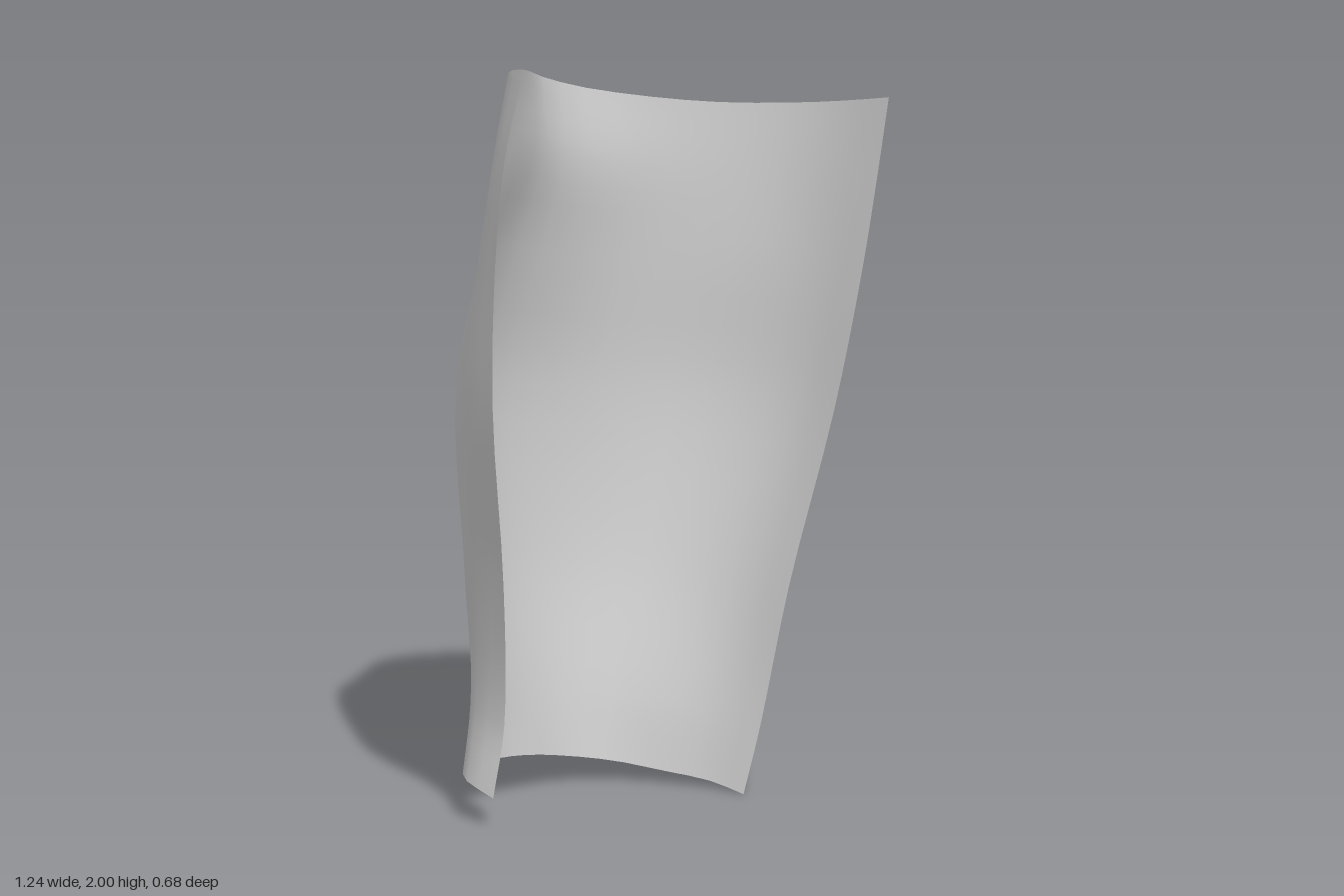
import * as THREE from 'three';

const AROUND = 20, UP = 24;

// Lower and upper rims as [x, y, z], from one front edge around the back to the other
const bottomRim = [
  [-.553, .078, .153], [-.545, .105, .03], [-.485, .115, -.055], [-.37, .11, -.118], [-.21, .10, -.157],
  [-.05, .075, -.175], [.07, .055, -.12], [.15, .035, -.02], [.21, .02, .1], [.23, 0, .22],
];
const topRim = [
  [-.52, 2, .228], [-.425, 1.985, .055], [-.285, 1.955, -.065], [-.15, 1.91, -.19], [-.03, 1.865, -.29], [.12, 1.815, -.32],
  [.28, 1.78, -.265], [.44, 1.76, -.16], [.565, 1.768, 0], [.612, 1.795, .17], [.62, 1.83, .34],
];

// Sections between the rims: fraction of the height, then [x, z] points
const sections = [
  [.1, [[-.515, .152], [-.515, .04], [-.46, -.06], [-.35, -.14], [-.2, -.2], [-.04, -.215], [.09, -.16], [.18, -.05], [.25, .09], [.275, .235]]],
  [.3, [[-.56, .205], [-.5, -.01], [-.42, -.14], [-.28, -.25], [-.12, -.3], [.06, -.285], [.2, -.215], [.3, -.09], [.355, .08], [.355, .255]]],
  [.55, [[-.62, .235], [-.56, .06], [-.48, -.08], [-.365, -.23], [-.2, -.325], [-.01, -.338], [.17, -.3], [.33, -.215], [.44, -.075], [.495, .11], [.482, .285]]],
  [.75, [[-.612, .235], [-.515, .05], [-.405, -.075], [-.295, -.185], [-.165, -.26], [0, -.29], [.18, -.28], [.345, -.205], [.475, -.065], [.55, .13], [.555, .31]]],
  [.89, [[-.578, .23], [-.47, .05], [-.345, -.06], [-.2, -.152], [-.07, -.232], [.08, -.27], [.245, -.252], [.395, -.175], [.525, -.03], [.583, .15], [.595, .325]]],
];

// Evenly spaced points along a section
const spaced = (pts) =>
  new THREE.CatmullRomCurve3(pts.map((p) => new THREE.Vector3(...p))).getSpacedPoints(AROUND);

function shellGeometry() {
  const low = spaced(bottomRim), high = spaced(topRim);
  const rings = [low];
  for (const [t, pts] of sections) {
    const ring = spaced(pts.map(([x, z]) => [x, 0, z]));
    ring.forEach((p, i) => { p.y = THREE.MathUtils.lerp(low[i].y, high[i].y, t); });
    rings.push(ring);
  }
  rings.push(high);

  // Smooth columns through the rings
  const positions = [], index = [];
  for (let i = 0; i <= AROUND; i++) {
    const column = new THREE.CatmullRomCurve3(rings.map((r) => r[i]));
    for (const p of column.getPoints(UP)) positions.push(p.x, p.y, p.z);
  }
  for (let i = 0; i < AROUND; i++) {
    for (let j = 0; j < UP; j++) {
      const a = i * (UP + 1) + j, b = a + UP + 1;
      index.push(a, a + 1, b, b, a + 1, b + 1);
    }
  }
  const geometry = new THREE.BufferGeometry();
  geometry.setAttribute('position', new THREE.Float32BufferAttribute(positions, 3));
  geometry.setIndex(index);
  geometry.computeVertexNormals();
  return geometry;
}

export function createModel() {
  const group = new THREE.Group();
  group.name = 'curvedGuard';
  const shell = new THREE.Mesh(
    shellGeometry(),
    new THREE.MeshStandardMaterial({ color: 0xcccccc, side: THREE.DoubleSide }),
  );
  shell.name = 'shell';
  group.add(shell);
  return group;
}
